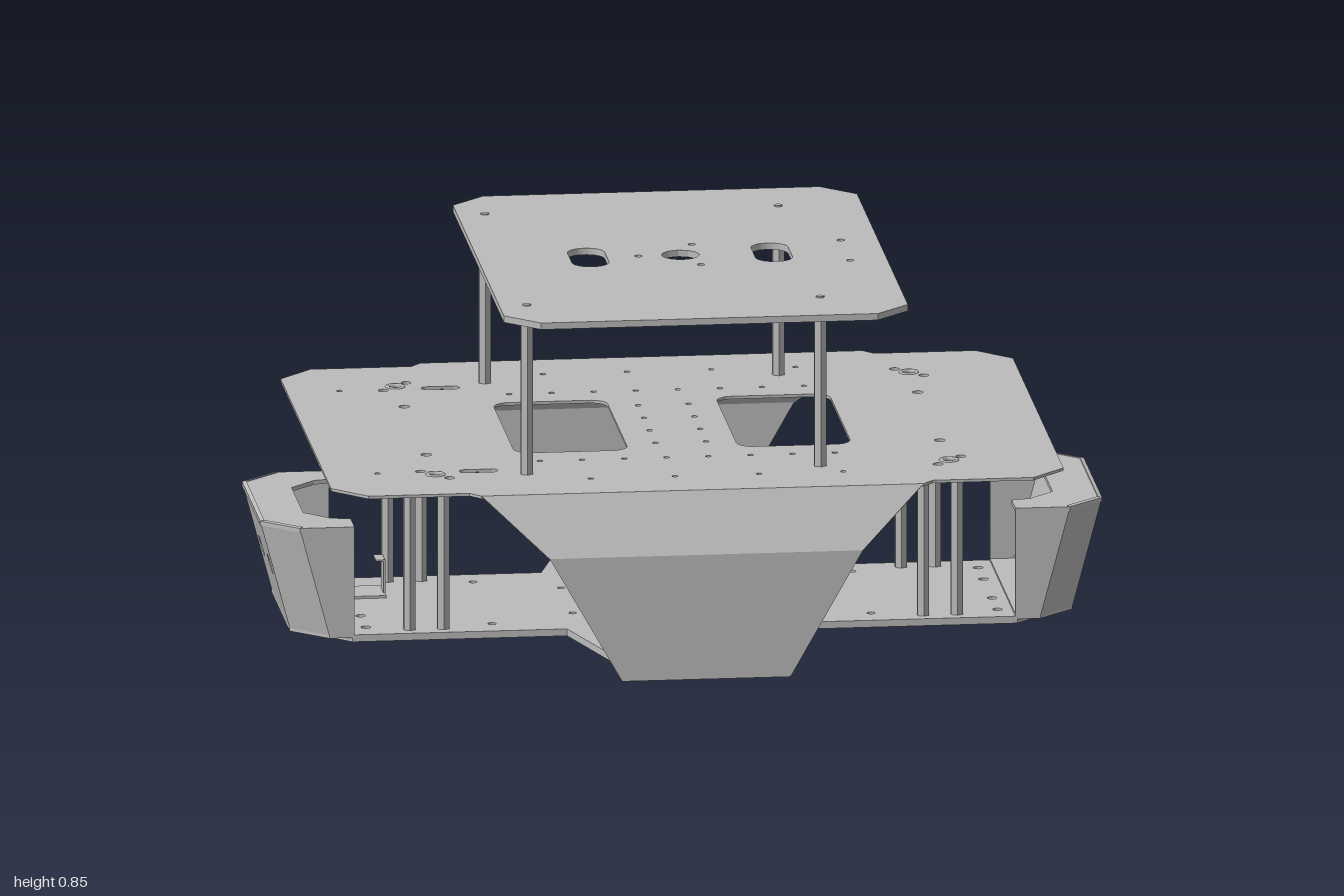
import * as THREE from 'three';

const grey = new THREE.MeshStandardMaterial({ color: 0xbcbcbc, side: THREE.DoubleSide });
grey.name = 'bareMetal';

const V = (x, y, z) => new THREE.Vector3(x, y, z);

function add(parent, name, geometry) {
  const mesh = new THREE.Mesh(geometry, grey);
  mesh.name = name;
  parent.add(mesh);
  return mesh;
}

function circle(x, z, r) {
  return new THREE.Path().absarc(x, z, r, 0, Math.PI * 2, true);
}

// rounded rectangle hole, also used for slots
function roundRect(x0, z0, x1, z1, r) {
  const p = new THREE.Path();
  p.absarc(x1 - r, z1 - r, r, 0, Math.PI / 2, false);
  p.absarc(x0 + r, z1 - r, r, Math.PI / 2, Math.PI, false);
  p.absarc(x0 + r, z0 + r, r, Math.PI, Math.PI * 1.5, false);
  p.absarc(x1 - r, z0 + r, r, Math.PI * 1.5, Math.PI * 2, false);
  p.closePath();
  return p;
}

// horizontal sheet: outline in x,z, from y0 up by t
function sheet(parent, name, outline, y0, t, holes = []) {
  const shape = new THREE.Shape(outline.map(([x, z]) => new THREE.Vector2(x, z)));
  shape.holes.push(...holes);
  const geo = new THREE.ExtrudeGeometry(shape, { depth: t, bevelEnabled: false, curveSegments: 6 });
  geo.rotateX(Math.PI / 2).translate(0, y0 + t, 0);
  return add(parent, name, geo);
}

// flat panel through 3D corners, thickened inwards; holes are [u, v, r] from the first corner
function panel(parent, name, pts, t, holes = []) {
  const u = pts[1].clone().sub(pts[0]).normalize();
  const n = u.clone().cross(pts[2].clone().sub(pts[0])).normalize();
  const v = n.clone().cross(u);
  const shape = new THREE.Shape(pts.map((p) => {
    const d = p.clone().sub(pts[0]);
    return new THREE.Vector2(d.dot(u), d.dot(v));
  }));
  holes.forEach(([a, b, r]) => shape.holes.push(circle(a, b, r)));
  const geo = new THREE.ExtrudeGeometry(shape, { depth: t, bevelEnabled: false, curveSegments: 8 });
  geo.translate(0, 0, -t);
  geo.applyMatrix4(new THREE.Matrix4().makeBasis(u, v, n).setPosition(pts[0]));
  return add(parent, name, geo);
}

// repeat an outline quarter (given from +x side to +z side) to all four quadrants
function fourfold(q) {
  const r = [...q].reverse();
  return [
    ...q, ...r.map(([x, z]) => [-x, z]),
    ...q.map(([x, z]) => [-x, -z]), ...r.map(([x, z]) => [x, -z]),
  ];
}

function post(parent, name, x, z, y0, y1) {
  const geo = new THREE.CylinderGeometry(0.016, 0.016, y1 - y0, 6).toNonIndexed();
  geo.computeVertexNormals();
  add(parent, name, geo).position.set(x, (y0 + y1) / 2, z);
}

// bent end guard on the +x side; holes are z offsets in its outer face
function endGuard(name, holeZ, holeR) {
  const g = new THREE.Group();
  g.name = name;
  const y0 = 0.018, y1 = 0.28, t = 0.01;
  panel(g, 'guardFace', [V(0.93, y0, 0.19), V(0.93, y0, -0.19), V(1, y1, -0.19), V(1, y1, 0.19)], t,
    holeZ.map((z) => [0.19 - z, 0.135, holeR]));
  panel(g, 'guardCorner', [V(0.845, y0, 0.27), V(0.93, y0, 0.19), V(1, y1, 0.19), V(0.915, y1, 0.27)], t);
  panel(g, 'guardCorner', [V(0.93, y0, -0.19), V(0.845, y0, -0.27), V(0.915, y1, -0.27), V(1, y1, -0.19)], t);
  panel(g, 'guardSide', [V(0.785, y0, 0.27), V(0.845, y0, 0.27), V(0.915, y1, 0.27), V(0.785, y1, 0.27)], t);
  panel(g, 'guardSide', [V(0.845, y0, -0.27), V(0.785, y0, -0.27), V(0.785, y1, -0.27), V(0.915, y1, -0.27)], t);
  sheet(g, 'guardTopLip', [
    [0.785, 0.27], [0.915, 0.27], [1, 0.19], [1, -0.19], [0.915, -0.27], [0.785, -0.27],
    [0.785, -0.19], [0.83, -0.18], [0.89, -0.12], [0.89, 0.12], [0.83, 0.18], [0.785, 0.19],
  ], y1 - 0.01, 0.01);
  sheet(g, 'guardFoot', [
    [0.785, 0.27], [0.845, 0.27], [0.93, 0.19], [0.93, -0.19], [0.845, -0.27], [0.785, -0.27],
  ], y0 - 0.008, 0.012);
  return g;
}

export function createModel() {
  const model = new THREE.Group();
  model.name = 'chassis';
  const signs = [-1, 1];

  // bottom plate with a wide waist
  const baseHoles = [];
  for (const sx of signs) for (const sz of signs) {
    baseHoles.push(circle(sx * 0.75, sz * 0.2, 0.012), circle(sx * 0.75, sz * 0.09, 0.012));
    baseHoles.push(circle(sx * 0.45, sz * 0.2, 0.01), circle(sx * 0.15, sz * 0.45, 0.01));
    baseHoles.push(circle(sx * 0.25, sz * 0.12, 0.009));
  }
  sheet(model, 'bottomPlate',
    fourfold([[0.87, 0.19], [0.79, 0.27], [0.28, 0.27], [0.2, 0.54]]), 0, 0.017, baseHoles);

  // middle plate with two large windows and mounting holes
  const deckHoles = [
    roundRect(0.13, -0.24, 0.4, 0.24, 0.04), roundRect(-0.4, -0.24, -0.13, 0.24, 0.04),
  ];
  for (const sx of signs) for (const sz of signs) {
    deckHoles.push(circle(sx * 0.61, sz * 0.42, 0.023));
    deckHoles.push(circle(sx * 0.58, sz * 0.455, 0.012), circle(sx * 0.642, sz * 0.388, 0.012));
    deckHoles.push(circle(sx * 0.61, sz * 0.23, 0.013));
  }
  for (const sz of signs) {
    deckHoles.push(roundRect(-0.55, sz * 0.397 - 0.014, -0.46, sz * 0.397 + 0.014, 0.013));
    deckHoles.push(circle(-0.745, sz * 0.395, 0.007));
    for (let i = 0; i < 8; i++) {
      deckHoles.push(circle(-0.35 + i * 0.1, sz * 0.32, 0.007));
      if (i % 2) deckHoles.push(circle(-0.35 + i * 0.1, sz * 0.5, 0.007));
    }
    for (let i = 0; i < 4; i++) deckHoles.push(circle(sz * 0.06, -0.18 + i * 0.12, 0.007));
  }
  sheet(model, 'middlePlate',
    fourfold([[0.87, 0.525], [0.79, 0.608], [0.55, 0.608], [0.525, 0.637]]), 0.434, 0.007, deckHoles);

  // folded skirts at the front and back
  for (const turn of [0, Math.PI]) {
    const skirt = new THREE.Group();
    skirt.name = turn ? 'backSkirt' : 'frontSkirt';
    panel(skirt, 'skirtSlope', [
      V(-0.372, 0.303, 0.716), V(0.372, 0.303, 0.716), V(0.525, 0.441, 0.637), V(-0.525, 0.441, 0.637)], 0.007);
    panel(skirt, 'skirtDrop', [
      V(-0.2, 0, 0.716), V(0.2, 0, 0.716), V(0.372, 0.303, 0.716), V(-0.372, 0.303, 0.716)], 0.007);
    skirt.rotation.y = turn;
    model.add(skirt);
  }

  // shallow open rails under the middle plate, standing on paired posts
  for (const sx of signs) {
    const x = sx * 0.61;
    const rail = [[x - 0.062, -0.45], [x - 0.042, -0.47], [x + 0.042, -0.47], [x + 0.062, -0.45],
      [x + 0.062, 0.45], [x + 0.042, 0.47], [x - 0.042, 0.47], [x - 0.062, 0.45]];
    sheet(model, 'rail', rail, 0.405, 0.029, [
      roundRect(x - 0.045, 0.27, x + 0.045, 0.455, 0.02),
      roundRect(x - 0.045, -0.455, x + 0.045, -0.27, 0.02),
      roundRect(x - 0.045, -0.18, x + 0.045, 0.18, 0.02),
    ]);
    for (const sz of signs) {
      for (const dx of [-0.04, 0.04]) post(model, 'lowerPost', x + dx, sz * 0.23, 0.015, 0.408);
      // mounting bush in the deck hole
      const bush = add(model, 'bush', new THREE.TorusGeometry(0.019, 0.006, 6, 16));
      bush.rotation.x = Math.PI / 2;
      bush.position.set(x, 0.439, sz * 0.42);
    }
  }

  // top plate with slots and round hole
  const topHoles = [
    roundRect(-0.243, -0.088, -0.155, 0.088, 0.043), roundRect(0.193, -0.088, 0.281, 0.088, 0.043),
    circle(0.02, 0, 0.045), circle(-0.08, 0, 0.009),
  ];
  for (const sz of signs) {
    for (const x of [0.058, 0.412]) topHoles.push(circle(x, sz * 0.097, 0.009));
  }
  sheet(model, 'topPlate',
    fourfold([[0.48, 0.53], [0.4, 0.608]]).map(([x, z]) => [x + 0.02, z]), 0.835, 0.016, topHoles);

  // upper posts with screw heads
  for (const x of [-0.395, 0.302]) for (const sz of signs) {
    post(model, 'upperPost', x, sz * 0.436, 0.441, 0.836);
    add(model, 'screwHead', new THREE.CylinderGeometry(0.01, 0.01, 0.004, 12)).position.set(x, 0.852, sz * 0.436);
  }

  // end guards
  model.add(endGuard('leftGuard', [0], 0.036));
  const right = endGuard('rightGuard', [-0.09, 0.09], 0.026);
  right.rotation.y = Math.PI;
  model.add(right);

  // small angle bracket beside the right guard
  add(model, 'bracketFoot', new THREE.BoxGeometry(0.115, 0.006, 0.1)).position.set(-0.728, 0.02, -0.12);
  add(model, 'bracketTab', new THREE.BoxGeometry(0.005, 0.085, 0.05)).position.set(-0.672, 0.06, -0.12);
  add(model, 'bracketLip', new THREE.BoxGeometry(0.022, 0.004, 0.05)).position.set(-0.682, 0.102, -0.12);

  return model;
}
